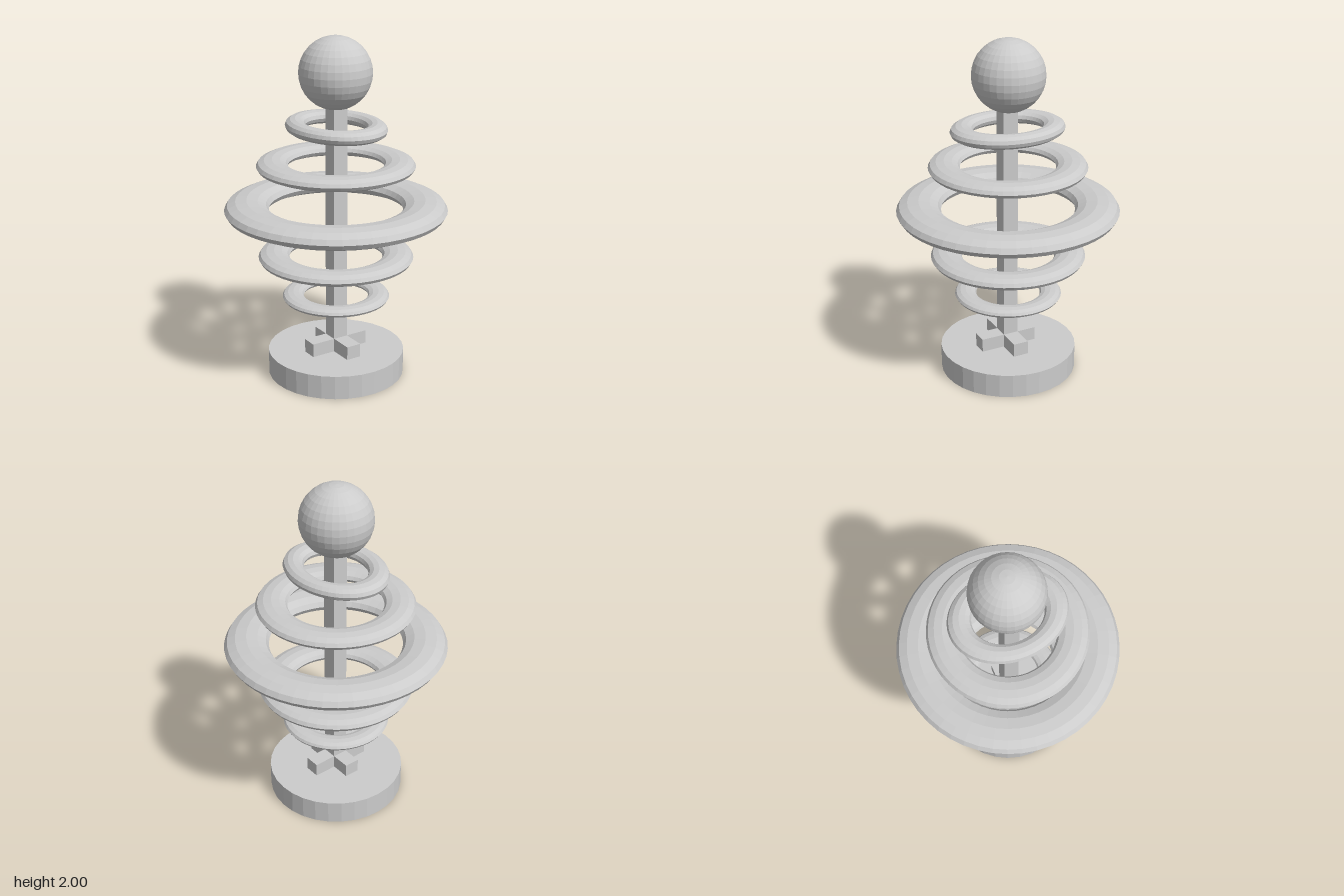
import * as THREE from 'three';

export function createModel() {
  const group = new THREE.Group();
  const material = new THREE.MeshStandardMaterial({ color: 0xcccccc, flatShading: true });

  function add(name, geometry, x, y, z) {
    const mesh = new THREE.Mesh(geometry, material);
    mesh.name = name;
    mesh.position.set(x, y, z);
    group.add(mesh);
    return mesh;
  }

  // Round base
  add('base', new THREE.CylinderGeometry(0.4, 0.4, 0.14, 32), 0, 0.07, 0);

  // Crossed feet holding the pole
  add('footAcross', new THREE.BoxGeometry(0.37, 0.08, 0.09), -0.005, 0.18, 0.005);
  add('footLengthwise', new THREE.BoxGeometry(0.09, 0.08, 0.345), 0, 0.18, 0.017);

  // Square pole and ball on top
  add('pole', new THREE.BoxGeometry(0.09, 1.5, 0.09), 0, 0.89, 0.005);
  add('ball', new THREE.SphereGeometry(0.207, 32, 16), 0, 1.793, -0.004);

  // Flattened rings: centre height, outer x radius, outer z radius, half height
  const rings = [
    ['ringBottom', 0.475, 0.312, 0.312, 0.027],
    ['ringLower', 0.722, 0.448, 0.448, 0.039],
    ['ringMiddle', 1.012, 0.638, 0.638, 0.057],
    ['ringUpper', 1.267, 0.452, 0.452, 0.039],
    ['ringTop', 1.488, 0.267, 0.335, 0.04],
  ];
  for (const [name, y, rx, rz, h] of rings) {
    const torus = new THREE.TorusGeometry(0.8, 0.2, 12, 48).rotateX(-Math.PI / 2);
    torus.scale(rx, h / 0.2, rz);
    add(name, torus, 0, y, 0);
  }

  return group;
}
